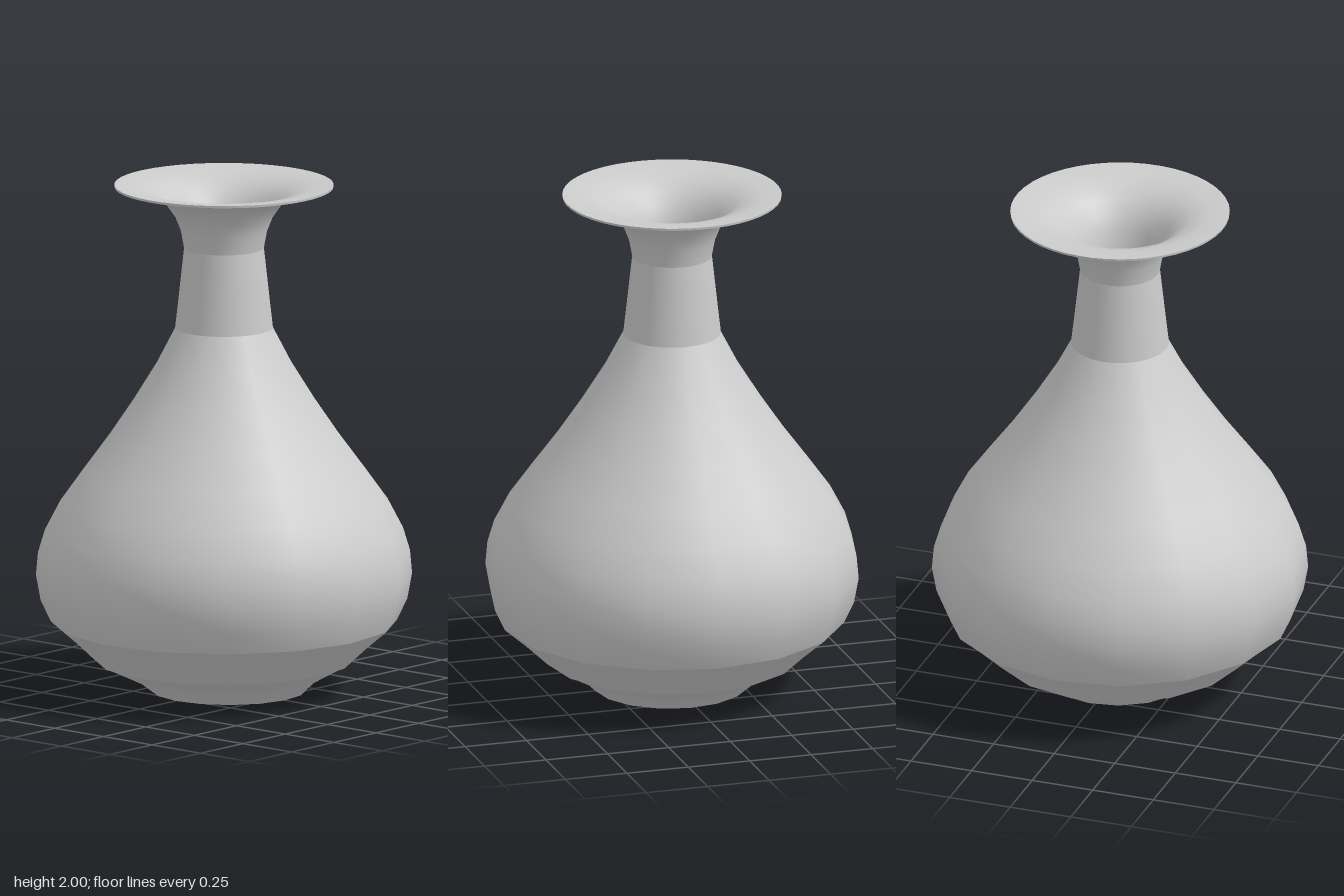
import * as THREE from 'three';

const material = new THREE.MeshStandardMaterial({ color: 0xcccccc });
const TURN = -0.04; // slight twist of the body polygon

export function createModel() {
  const vase = new THREE.Group();
  vase.name = 'vase';

  // Each separate lathe keeps a crease at its seams
  function ring(name, profile, sides) {
    const points = profile.map(([r, y]) => new THREE.Vector2(r, y));
    const mesh = new THREE.Mesh(new THREE.LatheGeometry(points, sides, TURN), material);
    mesh.name = name;
    vase.add(mesh);
    return mesh;
  }

  // Base and foot, standing a little off centre
  const base = ring('base', [[0, 0], [0.3, 0]], 16);
  const foot = ring('foot', [[0.3, 0], [0.36, 0.052], [0.42, 0.083], [0.485, 0.116]], 16);
  for (const part of [base, foot]) {
    const p = part.geometry.attributes.position;
    for (let i = 0; i < p.count; i++) {
      const k = Math.max(0, 1 - p.getY(i) / 0.116) * 0.013;
      p.setX(i, p.getX(i) + k);
      p.setZ(i, p.getZ(i) + k);
    }
  }

  // Ledge, lower slope and pear-shaped body
  ring('ledge', [[0.485, 0.116], [0.5, 0.12]], 16);
  ring('lowerBody', [[0.5, 0.12], [0.585, 0.2], [0.672, 0.275]], 16);
  ring('body', [
    [0.672, 0.275], [0.712, 0.36], [0.73, 0.46], [0.722, 0.55], [0.695, 0.64], [0.635, 0.755],
    [0.545, 0.88], [0.445, 1.015], [0.35, 1.155], [0.26, 1.3], [0.19, 1.435],
  ], 16);

  // Neck and flared lip
  ring('neck', [[0.19, 1.435], [0.178, 1.54], [0.155, 1.75]], 32);
  ring('lipOutside', [
    [0.155, 1.75], [0.168, 1.82], [0.19, 1.875], [0.225, 1.925], [0.27, 1.96],
    [0.33, 1.98], [0.425, 1.991],
  ], 48);
  ring('rim', [[0.425, 1.991], [0.426, 2]], 48);
  ring('lipInside', [
    [0.426, 2], [0.34, 1.992], [0.275, 1.972], [0.225, 1.94], [0.185, 1.895], [0.155, 1.835], [0.14, 1.76],
  ], 48);

  // Throat and hollow inside
  ring('throat', [[0.14, 1.76], [0.12, 1.66], [0.105, 1.5]], 32);
  ring('cavity', [
    [0.105, 1.5], [0.15, 1.4], [0.3, 1.15], [0.49, 0.88], [0.63, 0.64], [0.67, 0.46], [0.61, 0.3], [0.44, 0.15],
  ], 16);
  ring('cavityFloor', [[0.44, 0.15], [0, 0.15]], 16);

  return vase;
}
